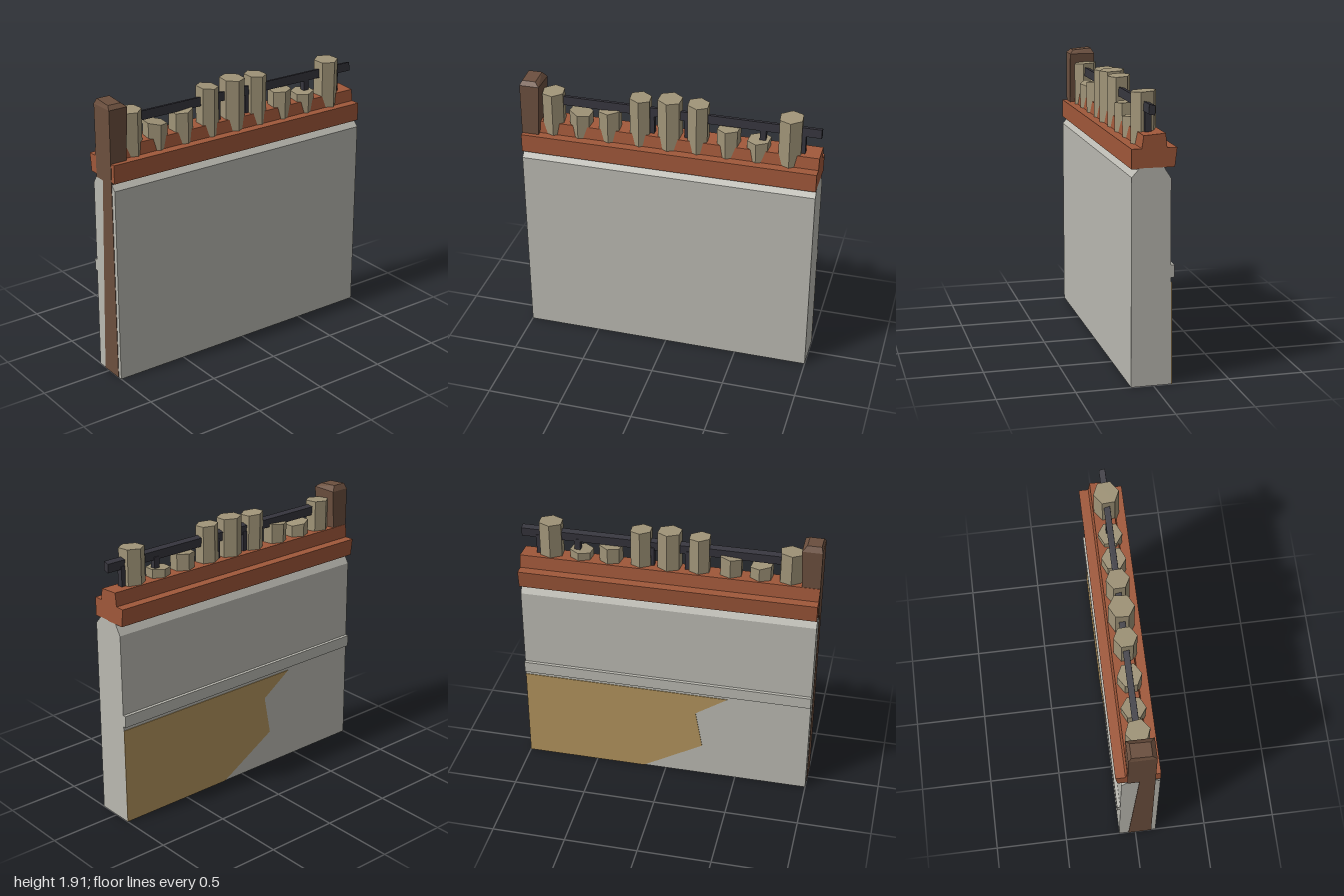
import * as THREE from 'three';

const mat = (name, color) => Object.assign(new THREE.MeshStandardMaterial({ color }), { name });

// Gives every face its own normal for a crisp low-poly look
function flat(geometry) {
  const g = geometry.index ? geometry.toNonIndexed() : geometry;
  g.computeVertexNormals();
  return g;
}

// Extrudes a [z, y] outline along x, from x0 to x1
function profile(points, x0 = -1, x1 = 1) {
  const shape = new THREE.Shape(points.map(([z, y]) => new THREE.Vector2(-z, y)));
  const g = new THREE.ExtrudeGeometry(shape, { depth: x1 - x0, bevelEnabled: false });
  return g.rotateY(Math.PI / 2).translate(x0, 0, 0);
}

export function createModel() {
  const group = new THREE.Group();
  const plaster = mat('plaster grey', 0xbab9b1);
  const terracotta = mat('terracotta', 0xa0583a);
  const stake = mat('weathered stake', 0xa09478);
  const iron = mat('dark iron', 0x36353d);
  const timber = mat('dark timber', 0x6b4f3e);
  const ochre = mat('ochre', 0xb2935c);

  const add = (name, geometry, material) => {
    const mesh = new THREE.Mesh(geometry, material);
    mesh.name = name;
    group.add(mesh);
    return mesh;
  };
  const box = (name, material, x0, x1, y0, y1, z0, z1) =>
    add(name, new THREE.BoxGeometry(x1 - x0, y1 - y0, z1 - z0)
      .translate((x0 + x1) / 2, (y0 + y1) / 2, (z0 + z1) / 2), material);

  // Wall with chamfered top edges and a slightly leaning back
  add('wall', profile([
    [0.145, 0], [0.145, 1.345], [0.095, 1.4], [-0.06, 1.4], [-0.105, 1.33], [-0.117, 0],
  ]), plaster);
  box('backMoulding', plaster, -1, 1, 0.7, 0.78, -0.132, -0.1);

  // Worn ochre patch on the lower back
  const patch = new THREE.Shape([
    [1, 0], [1, 0.67], [-0.43, 0.67], [-0.21, 0.52], [-0.26, 0.245], [0.16, 0],
  ].map(([x, y]) => new THREE.Vector2(-x, y)));
  const patchGeometry = new THREE.ExtrudeGeometry(patch, { depth: 0.006, bevelEnabled: false });
  // Lean the patch with the back of the wall
  patchGeometry.rotateY(Math.PI);
  const pp = patchGeometry.attributes.position;
  for (let i = 0; i < pp.count; i++) pp.setZ(i, pp.getZ(i) - 0.115 + pp.getY(i) * 0.009);
  add('ochrePatch', flat(patchGeometry), ochre);

  // Two coping courses
  add('lowerCoping', profile([
    [0.145, 1.395], [0.145, 1.52], [-0.142, 1.52], [-0.128, 1.4],
  ]), terracotta);
  add('upperCoping', profile([
    [0.083, 1.51], [0.07, 1.6], [-0.068, 1.61], [-0.08, 1.51],
  ]), terracotta);

  // Hexagonal stakes: x, top height, radius at top and bottom, tilt of the top, turn
  const stakes = [
    [-0.8, 1.815, 0.08, 0.08, 0.04, 0.15],
    [-0.61, 1.695, 0.08, 0.074, -0.16, -0.08],
    [-0.41, 1.735, 0.08, 0.078, 0.08, 0.05],
    [-0.2, 1.85, 0.076, 0.076, -0.08, 0.06],
    [0, 1.868, 0.084, 0.084, -0.03, -0.05],
    [0.19, 1.857, 0.076, 0.076, -0.05, 0.05],
    [0.395, 1.715, 0.08, 0.076, 0.05, -0.1],
    [0.595, 1.66, 0.08, 0.074, 0.06, -0.08],
    [0.8, 1.845, 0.084, 0.084, 0.03, 0.1],
  ];
  for (const [x, top, rTop, rBottom, tilt, turn] of stakes) {
    const base = 1.38;
    const g = new THREE.CylinderGeometry(rTop, rBottom, top - base, 6);
    g.rotateY(turn).translate(0, (top + base) / 2, 0);
    const p = g.attributes.position;
    for (let i = 0; i < p.count; i++) {
      if (p.getY(i) > base + 0.01) p.setY(i, p.getY(i) + p.getX(i) * tilt - p.getZ(i) * 0.06);
    }
    add('stake', flat(g), stake).position.set(x, 0, 0.02);
  }

  // Rail and its uprights
  add('rail', profile([
    [0.04, 1.73], [0.036, 1.79], [-0.004, 1.78], [0, 1.72],
  ], -0.76, 1), iron);
  for (const x of [-0.125, 0.12, 0.62, 0.88]) {
    box('railUpright', iron, x - 0.02, x + 0.02, 1.58, 1.74, -0.005, 0.035);
  }

  // Corner post with a bevelled top
  const post = new THREE.BoxGeometry(0.133, 0.525, 0.178, 1, 2, 1);
  post.translate(-0.9365, 1.6425, 0.024);
  const p = post.attributes.position;
  for (let i = 0; i < p.count; i++) {
    const y = p.getY(i);
    if (y > 1.9) {
      p.setX(i, p.getX(i) > -0.95 ? -0.9 : -0.992);
      p.setZ(i, p.getZ(i) > 0 ? 0.085 : -0.045);
      p.setY(i, p.getZ(i) > 0 ? 1.897 : 1.908);
    } else if (y > 1.6) p.setY(i, 1.872);
    else if (p.getX(i) > -0.95) p.setX(i, -0.895);
  }
  add('cornerPost', flat(post), timber);

  // Timber of the same post showing on the end of the wall
  add('postEndStrip', profile([
    [0.115, 0], [0.113, 1.38], [0.01, 1.38], [-0.05, 0],
  ], -1.003, -0.997), timber);

  return group;
}
